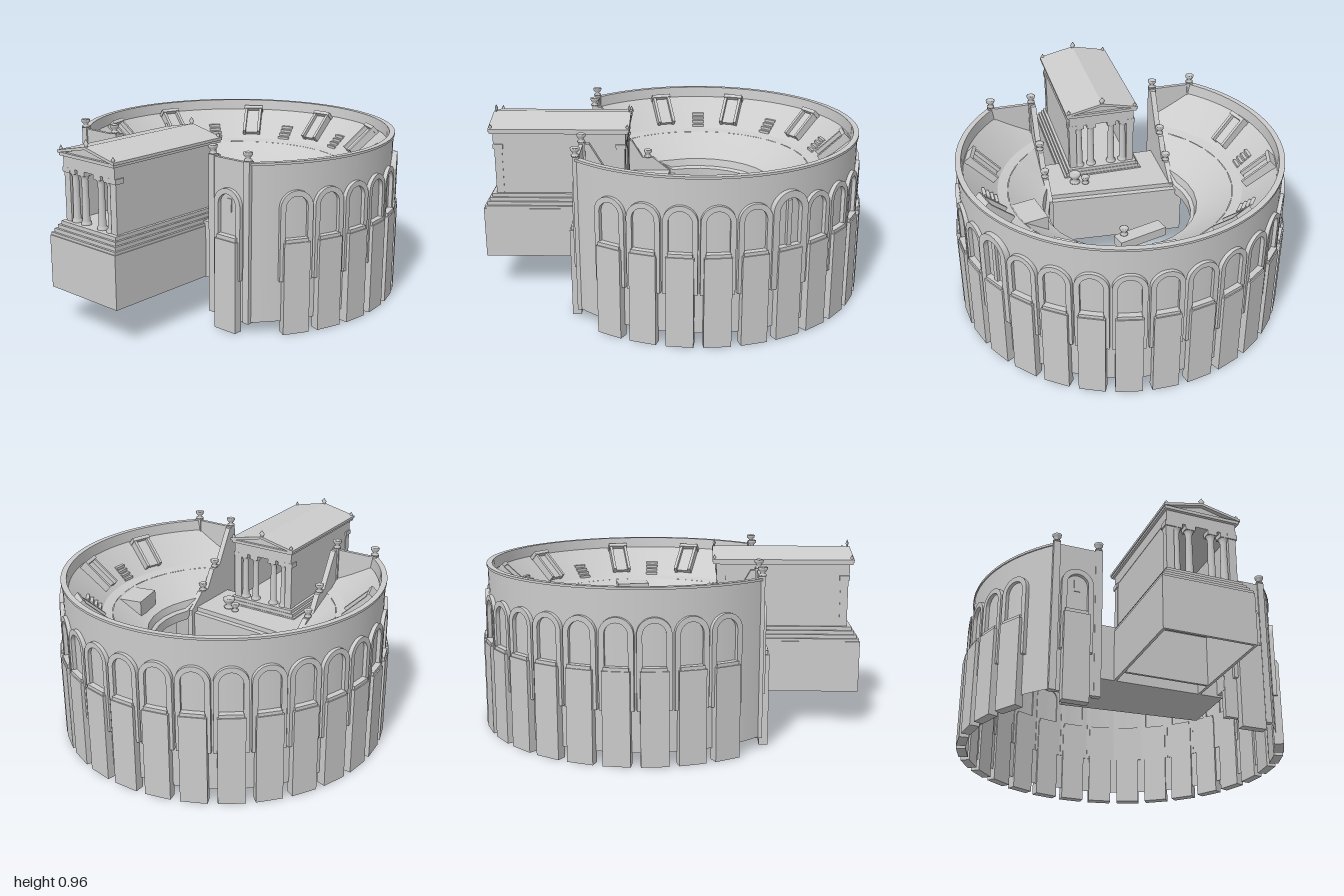
import * as THREE from 'three';
import { toCreasedNormals } from 'three/addons/utils/BufferGeometryUtils.js';

const mat = new THREE.MeshStandardMaterial({ color: 0xcccccc, side: THREE.DoubleSide });
const CZ = -0.13;            // ring centre on z
const R = 0.835;             // outer wall radius
const WING = 0.345;          // x of the wing walls beside the stage
const deg = THREE.MathUtils.degToRad;

function add(parent, name, geo, x = 0, y = 0, z = 0) {
  const m = new THREE.Mesh(geo, mat);
  m.name = name;
  m.position.set(x, y, z);
  parent.add(m);
  return m;
}

// box given by its min and max corners
function box(parent, name, x0, x1, y0, y1, z0, z1) {
  return add(parent, name, new THREE.BoxGeometry(x1 - x0, y1 - y0, z1 - z0),
    (x0 + x1) / 2, (y0 + y1) / 2, (z0 + z1) / 2);
}

// group on the ring whose local +z points outward
function onRing(parent, name, a) {
  const g = new THREE.Group();
  g.name = name;
  g.position.z = CZ;
  g.rotation.y = Math.PI / 2 - deg(a);
  parent.add(g);
  return g;
}

function heightAt(profile, r) {
  for (let i = 1; i < profile.length; i++) {
    const [r0, y0] = profile[i - 1], [r1, y1] = profile[i];
    if (r <= r0 && r >= r1 && r0 > r1) return y0 + (y1 - y0) * (r0 - r) / (r0 - r1);
  }
  return r > profile[0][0] ? profile[0][1] : profile[profile.length - 1][1];
}

// sweep a (radius, height) profile round the ring, trimmed to the wings if asked
function sweep(profile, a0, a1, n, trim) {
  const pos = [], idx = [], m = profile.length;
  for (let i = 0; i <= n; i++) {
    const a = deg(a0 + (a1 - a0) * i / n);
    for (const [r, y] of profile) {
      let x = r * Math.cos(a), z = r * Math.sin(a), h = y;
      if (trim && z > 0 && (Math.abs(x) < WING || z > 0.6)) {
        x = Math.sign(x) * Math.max(WING, Math.abs(x));
        z = Math.min(0.59, z);
        h = heightAt(profile, Math.hypot(x, z));
      }
      pos.push(x, h, z + CZ);
    }
  }
  for (let i = 0; i < n; i++) for (let j = 0; j < m - 1; j++) {
    const p = i * m + j, q = p + m;
    idx.push(p, q, p + 1, q, q + 1, p + 1);
  }
  const g = new THREE.BufferGeometry();
  g.setAttribute('position', new THREE.Float32BufferAttribute(pos, 3));
  g.setIndex(idx);
  return toCreasedNormals(g, deg(25));
}

// arch frame, open at the bottom
function archGeo(half, inner, y0, spring, depth) {
  const s = new THREE.Shape();
  s.moveTo(half, y0);
  s.lineTo(half, spring);
  s.absarc(0, spring, half, 0, Math.PI, false);
  s.lineTo(-half, y0);
  s.lineTo(-inner, y0);
  s.lineTo(-inner, spring);
  s.absarc(0, spring, inner, Math.PI, 0, true);
  s.lineTo(inner, y0);
  return new THREE.ExtrudeGeometry(s, { depth, bevelEnabled: false, curveSegments: 12 });
}

function urn(parent, x, y, z, s = 1) {
  const pts = [[0, 0], [0.02, 0], [0.02, 0.008], [0.009, 0.014], [0.022, 0.03], [0.024, 0.042], [0.018, 0.045], [0, 0.04]];
  const g = new THREE.LatheGeometry(pts.map(p => new THREE.Vector2(p[0] * s, p[1] * s)), 12);
  add(parent, 'urn', g, x, y, z);
}

function buildRing(root) {
  add(root, 'outerWall', sweep([[R, 0.06], [R, 0.845], [R + 0.006, 0.845], [R + 0.006, 0.857], [0.812, 0.857], [0.805, 0.8]], 46, -226, 68));
  add(root, 'upperSeating', sweep([[0.82, 0.81], [0.8, 0.79], [0.64, 0.65], [0.59, 0.64]], 67, -247, 80, true));
  add(root, 'lowerSeating', sweep([[0.59, 0.64], [0.44, 0.54], [0.41, 0.53], [0.4, 0.49], [0.38, 0.48], [0.38, 0.43]], 60, -240, 24, true));

  // arcade of arches over tall buttresses
  for (let a = 30; a >= -210; a -= 12) {
    const bay = onRing(root, 'arcadeBay', a);
    const big = a === -30;
    add(bay, 'arch', big ? archGeo(0.098, 0.062, 0.27, 0.66, 0.034) : archGeo(0.083, 0.056, 0.27, 0.635, 0.027), 0, 0, 0.826);
    box(bay, 'buttress', -0.067, 0.067, 0, 0.465, 0.82, 0.87);
    box(bay, 'buttressCap', -0.06, 0.06, 0.465, 0.482, 0.82, 0.864);
    if (big) box(bay, 'windowPost', -0.012, 0.012, 0.48, 0.71, 0.825, 0.85);
  }

  // doorway frames lying on the upper slope
  for (const a of [17, -16, -56, -90, -124, -164, -197]) {
    const door = onRing(root, 'doorFrame', a);
    const frame = new THREE.Group();
    frame.name = 'frame';
    frame.position.set(0, 0.74, 0.715);
    frame.rotation.x = -0.75;
    door.add(frame);
    for (const s of [-1, 1]) box(frame, 'jamb', s * 0.043 - 0.008, s * 0.043 + 0.008, -0.02, 0.025, -0.09, 0.09);
    box(frame, 'lintel', -0.055, 0.055, -0.02, 0.03, 0.08, 0.1);
    box(frame, 'doorPanel', -0.036, 0.036, -0.02, 0.004, -0.085, 0.08);
  }
  for (const a of [0, -37, -74, -106, -143, -180]) {
    const stair = onRing(root, 'stair', a);
    for (let i = 0; i < 4; i++) box(stair, 'step', -0.033, 0.033, 0.64, 0.668 + i * 0.018, 0.645 + i * 0.02, 0.665 + i * 0.02);
  }

  // flat box on the right-hand seating
  const lodge = onRing(root, 'lodge', -12);
  box(lodge, 'lodgePlatform', -0.09, 0.09, 0.52, 0.635, 0.45, 0.63);
}

function buildWings(root) {
  for (const s of [1, -1]) {
    const wing = new THREE.Group();
    wing.name = s > 0 ? 'leftWing' : 'rightWing';
    root.add(wing);
    const lo = Math.min(s * WING, s * 0.585), hi = Math.max(s * WING, s * 0.585);
    box(wing, 'frontWall', lo, hi, 0.055, 0.857, 0.45, 0.47);
    add(wing, 'frontArch', archGeo(0.083, 0.055, 0.27, 0.635, 0.022), s * 0.465, 0, 0.468);
    box(wing, 'frontButtress', s * 0.47 - 0.067, s * 0.47 + 0.067, 0, 0.465, 0.465, 0.51);
    box(wing, 'frontButtressCap', s * 0.47 - 0.06, s * 0.47 + 0.06, 0.465, 0.485, 0.465, 0.503);
    box(wing, 'windowSlot', s * 0.465 - 0.015, s * 0.465 + 0.015, 0.6, 0.665, 0.468, 0.474);

    // wall stepping down toward the stage
    const shape = new THREE.Shape([[-0.47, 0.2], [-0.47, 0.857], [-0.42, 0.857], [-0.31, 0.67], [-0.25, 0.66], [-0.19, 0.56], [-0.13, 0.56], [-0.03, 0.48], [-0.03, 0.2]]
      .map(p => new THREE.Vector2(...p)));
    const side = add(wing, 'wingWall', new THREE.ExtrudeGeometry(shape, { depth: 0.03, bevelEnabled: false }), s * WING - 0.015);
    side.rotation.y = Math.PI / 2;

    for (const [x, z] of [[0.575, 0.465], [0.35, 0.46]]) {
      box(wing, 'pier', s * x - 0.018, s * x + 0.018, 0.055, 0.865, z - 0.02, z + 0.012);
      urn(wing, s * x, 0.865, z);
    }
    urn(wing, s * WING, 0.665, 0.28);
    urn(wing, s * WING, 0.56, 0.16);
  }
}

function buildStage(root) {
  // slab with a slightly skewed rear edge, laid flat
  const layers = [[0, 0.19, 0.46], [0.03, 0.46, 0.485]];
  for (const [inset, y0, y1] of layers) {
    const s = new THREE.Shape([[-0.39, -inset], [0.37, -0.055 - inset], [0.36, -0.39], [-0.36, -0.39]].map(p => new THREE.Vector2(...p)));
    const m = add(root, 'stage', new THREE.ExtrudeGeometry(s, { depth: y1 - y0, bevelEnabled: false }), 0, y0, 0);
    m.rotation.x = -Math.PI / 2;
  }
  urn(root, 0.12, 0.485, 0.155, 1);
  urn(root, 0.175, 0.485, 0.175, 1.4);

  // tilted altar slab over the open round floor
  const altar = new THREE.Group();
  altar.name = 'altar';
  altar.position.set(-0.05, 0, -0.35);
  altar.rotation.y = 0.27;
  root.add(altar);
  box(altar, 'altarSlab', -0.135, 0.135, 0.43, 0.48, -0.038, 0.038);
  urn(altar, 0.085, 0.48, 0.02, 1);
}

function buildTemple(root) {
  const t = new THREE.Group();
  t.name = 'temple';
  root.add(t);

  // hollow podium, open underneath, with stepped top
  for (const s of [-1, 1]) box(t, 'podiumSide', s * 0.228 - 0.007, s * 0.228 + 0.007, 0.19, 0.46, 0.23, 1);
  for (const z of [0.237, 0.5, 0.993]) box(t, 'podiumCrossWall', -0.234, 0.234, 0.19, 0.46, z - 0.007, z + 0.007);
  for (let i = 0; i < 4; i++) {
    const d = i * 0.012;
    box(t, 'podiumStep', -0.232 + d, 0.232 - d, 0.455 + i * 0.019, 0.474 + i * 0.019, 0.225 + d * 0.3, 0.995 - d);
  }

  // side walls with end pilasters
  for (const s of [-1, 1]) {
    box(t, 'sideWall', s * 0.168 - 0.012, s * 0.168 + 0.012, 0.53, 0.8, 0.27, 0.92);
    for (const z of [0.275, 0.915]) {
      box(t, 'pilaster', s * 0.163 - 0.02, s * 0.163 + 0.02, 0.53, 0.775, z - 0.02, z + 0.02);
      box(t, 'pilasterCapital', s * 0.163 - 0.026, s * 0.163 + 0.026, 0.775, 0.8, z - 0.026, z + 0.026);
    }
  }

  // columns at both ends
  const col = [[0.026, 0], [0.026, 0.012], [0.019, 0.02], [0.016, 0.225], [0.024, 0.245]].map(p => new THREE.Vector2(...p));
  for (const z of [0.275, 0.915]) for (const x of [-0.125, -0.058, 0.058, 0.125]) {
    add(t, 'column', new THREE.LatheGeometry(col, 14), x, 0.53, z);
    box(t, 'abacus', x - 0.025, x + 0.025, 0.775, 0.8, z - 0.025, z + 0.025);
  }

  box(t, 'entablature', -0.182, 0.182, 0.798, 0.86, 0.25, 0.94);
  box(t, 'cornice', -0.195, 0.195, 0.858, 0.874, 0.235, 0.955);

  // gable with a sunken pediment, then roof slopes
  const gable = new THREE.Shape([[-0.18, 0.87], [0.18, 0.87], [0, 0.915]].map(p => new THREE.Vector2(...p)));
  add(t, 'pediment', new THREE.ExtrudeGeometry(gable, { depth: 0.69, bevelEnabled: false }), 0, 0, 0.25);
  const roof = new THREE.Shape([[-0.2, 0.87], [0, 0.914], [0.2, 0.87], [0.2, 0.884], [0, 0.928], [-0.2, 0.884]].map(p => new THREE.Vector2(...p)));
  add(t, 'roof', new THREE.ExtrudeGeometry(roof, { depth: 0.73, bevelEnabled: false }), 0, 0, 0.23);

  // ridge and corner ornaments
  const bud = [[0, 0], [0.012, 0], [0.008, 0.008], [0.017, 0.02], [0, 0.042]].map(p => new THREE.Vector2(...p));
  for (const z of [0.24, 0.948]) for (const x of [-0.185, 0, 0.185]) {
    const m = add(t, 'roofOrnament', new THREE.LatheGeometry(bud, 8), x, x ? 0.878 : 0.922, z);
    m.scale.set(x ? 0.6 : 1, x ? 0.75 : 1, 0.5);
  }
}

export function createModel() {
  const root = new THREE.Group();
  root.name = 'theatreWithTemple';
  buildRing(root);
  buildWings(root);
  buildStage(root);
  buildTemple(root);
  return root;
}
